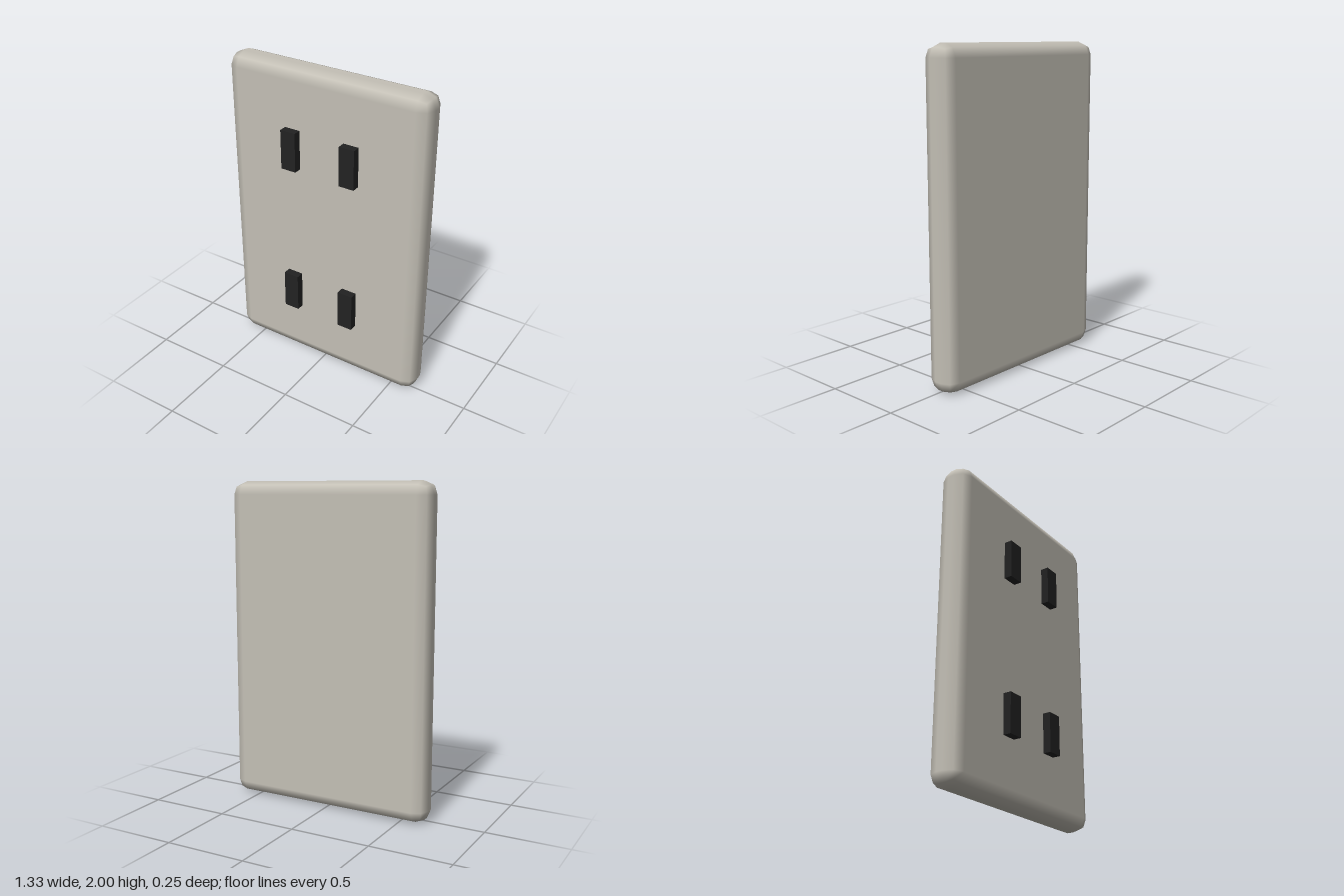
import * as THREE from 'three';
import { RoundedBoxGeometry } from 'three/addons/geometries/RoundedBoxGeometry.js';

export function createModel() {
  const model = new THREE.Group();
  model.name = 'wallPlate';

  const plateGrey = new THREE.MeshStandardMaterial({ color: 0xc4c0b6 });
  plateGrey.name = 'warm grey';
  const slotBlack = new THREE.MeshStandardMaterial({ color: 0x222222 });
  slotBlack.name = 'near black';

  // Plate with softly rounded edges
  const plate = new THREE.Mesh(new RoundedBoxGeometry(1.333, 2, 0.2, 1, 0.08), plateGrey);
  plate.name = 'plate';
  plate.position.set(0, 1, -0.025);
  model.add(plate);

  // Two pairs of upright contact blocks, slightly sunk into the plate
  const slotGeometry = new THREE.BoxGeometry(0.1, 0.25, 0.1);
  for (const [row, y] of [['lower', 0.5], ['upper', 1.5]]) {
    for (const [side, x] of [['Right', -0.2], ['Left', 0.2]]) {
      const slot = new THREE.Mesh(slotGeometry, slotBlack);
      slot.name = `${row}${side}Slot`;
      slot.position.set(x, y, 0.075);
      model.add(slot);
    }
  }
  return model;
}
